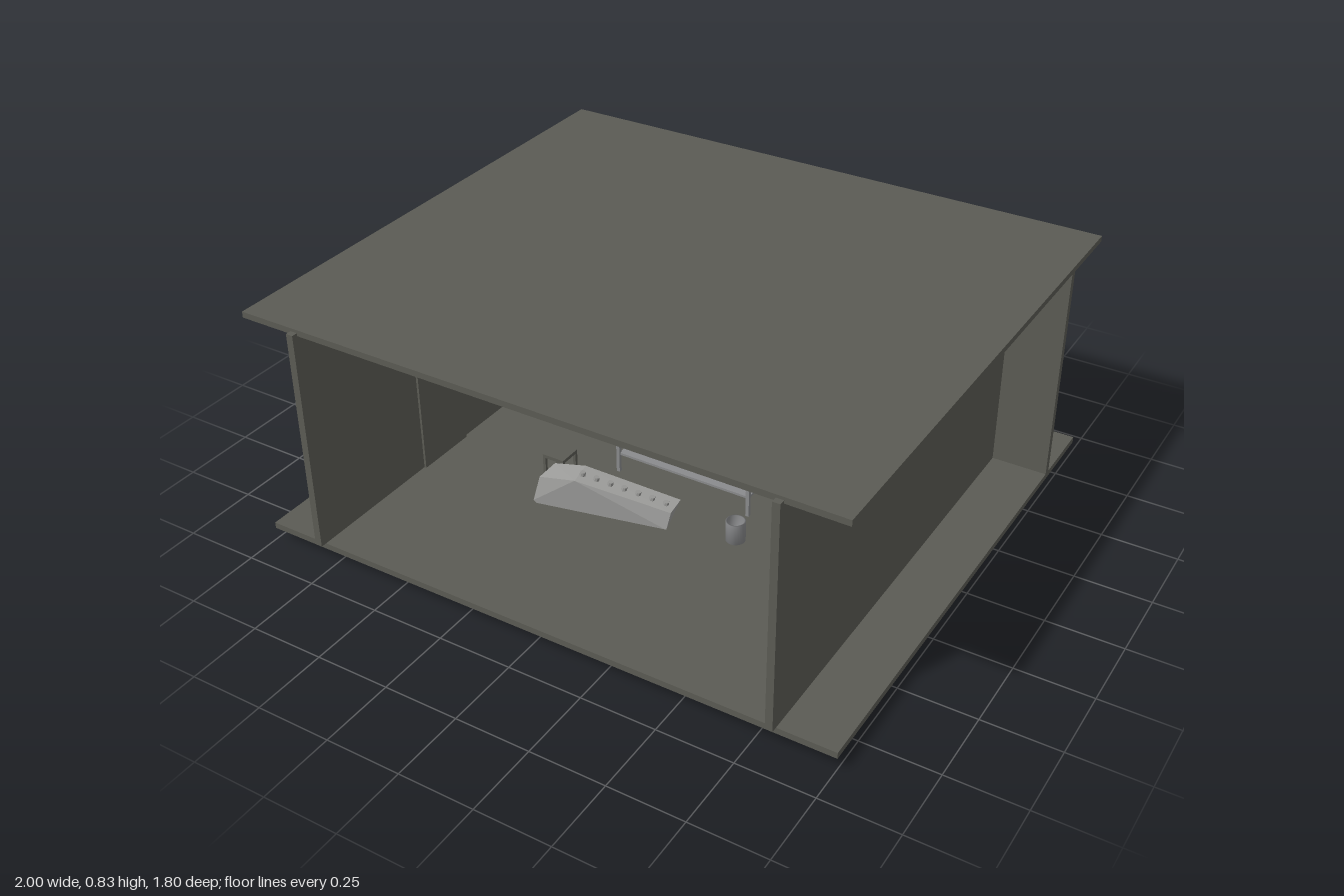
import * as THREE from 'three';
import { ConvexGeometry } from 'three/addons/geometries/ConvexGeometry.js';

const mat = (name, color, extra = {}) =>
  Object.assign(new THREE.MeshStandardMaterial({ color, ...extra }), { name });

export function createModel() {
  const root = new THREE.Group();
  root.name = 'openRoom';
  const concrete = mat('concreteGrey', 0x5b5b54);
  const panel = mat('cabinetGrey', 0x8a8b8d);
  const pale = mat('paleGrey', 0xa4a4a1);
  const couch = mat('couchGrey', 0x989896, { flatShading: true });
  const dark = mat('darkGrey', 0x3c3c38);

  const add = (name, geo, material, x = 0, y = 0, z = 0, parent = root) => {
    const m = new THREE.Mesh(geo, material);
    m.name = name;
    m.position.set(x, y, z);
    parent.add(m);
    return m;
  };
  // box given by its minimum and maximum corners
  const box = (name, material, x0, x1, y0, y1, z0, z1, parent = root) =>
    add(name, new THREE.BoxGeometry(x1 - x0, y1 - y0, z1 - z0), material,
      (x0 + x1) / 2, (y0 + y1) / 2, (z0 + z1) / 2, parent);
  const group = (name) => {
    const g = new THREE.Group();
    g.name = name;
    root.add(g);
    return g;
  };

  // Shell: two slabs, a full-width back wall and two long crossing side walls
  box('floorSlab', concrete, -1, 1, 0.045, 0.066, -0.9, 0.88);
  box('roofSlab', concrete, -1, 1, 0.815, 0.835, -0.9, 0.88);
  box('backWall', concrete, -1, 1, 0.066, 0.815, -0.664, -0.64);
  for (const s of [-1, 1]) {
    const w = box('sideWall', concrete, -0.012, 0.012, 0.066, 0.825, -0.79, 0.9);
    w.position.x = s * 0.8;
  }
  box('sideDoor', concrete, -0.788, -0.78, 0.066, 0.53, 0.17, 0.39);

  // Two rows of wall cabinets with bar handles
  const cabinets = group('wallCabinets');
  for (const x of [-0.257, 0, 0.255])
    for (const [y0, y1] of [[0.21, 0.4], [0.415, 0.6]]) {
      box('cabinet', panel, x - 0.115, x + 0.115, y0, y1, -0.64, -0.56, cabinets);
      box('cabinetHandle', dark, x - 0.04, x + 0.04, y1 - 0.038, y1 - 0.029, -0.56, -0.552, cabinets);
    }

  // Desk with a lower shelf and slim legs
  const desk = group('desk');
  box('deskTop', panel, -0.29, 0.32, 0.276, 0.285, -0.15, 0.1, desk);
  box('deskRail', panel, -0.24, 0.285, 0.266, 0.276, -0.12, 0.07, desk);
  box('lowerShelf', panel, -0.22, 0.27, 0.13, 0.138, -0.12, 0.07, desk);
  for (const x of [-0.222, 0.268])
    for (const z of [-0.12, 0.07])
      box('deskLeg', panel, x - 0.006, x + 0.006, 0.066, 0.27, z - 0.006, z + 0.006, desk);

  // Drawer unit hung above the desk
  const drawers = group('drawerUnit');
  box('drawerBody', pale, -0.24, 0.2, 0.318, 0.387, -0.12, 0.05, drawers);
  for (const x of [-0.075, 0.125])
    box('drawerHandle', dark, x - 0.025, x + 0.025, 0.347, 0.354, 0.05, 0.056, drawers);

  // Tilted couch sinking through the floor
  const couchGroup = group('couch');
  const hull = [
    [-0.33, 0.18, 0.28], [-0.22, 0.2, 0.265], [0.09, 0.135, 0.19],
    [-0.35, 0.155, 0.34], [-0.22, 0.18, 0.33], [0.09, 0.12, 0.25],
    [-0.36, 0.075, 0.365], [0.085, 0.065, 0.27], [-0.33, 0.045, 0.36],
    [-0.2, 0.004, 0.32], [0.04, 0.036, 0.28], [-0.2, 0.045, 0.22],
    [0.03, 0.045, 0.22], [-0.32, 0.07, 0.3],
  ].map((p) => new THREE.Vector3(...p));
  add('couchBody', new ConvexGeometry(hull), couch, 0, 0, 0, couchGroup);
  for (let i = 0; i < 7; i++) {
    const t = i / 6;
    const b = add('couchButton', new THREE.CylinderGeometry(0.009, 0.011, 0.012, 8), couch,
      -0.21 + 0.27 * t, 0.193 - 0.058 * t, 0.297 - 0.068 * t, couchGroup);
    b.rotation.z = -0.2;
  }

  // Small square stool
  const stool = group('stool');
  box('stoolSeat', concrete, -0.385, -0.305, 0.178, 0.19, 0.19, 0.27, stool);
  for (const x of [-0.38, -0.31])
    for (const z of [0.195, 0.265])
      box('stoolLeg', concrete, x - 0.005, x + 0.005, 0.066, 0.18, z - 0.005, z + 0.005, stool);

  // Open waste bin
  const bin = [[0, 0], [0.032, 0], [0.032, 0.072], [0.028, 0.072], [0.028, 0.006], [0, 0.006]]
    .map((p) => new THREE.Vector2(...p));
  add('wasteBin', new THREE.LatheGeometry(bin, 24), panel, 0.297, 0.066, 0.2);

  // Pendant lamp
  const lamp = group('pendantLamp');
  lamp.position.set(0.018, 0, 0);
  add('lampCord', new THREE.CylinderGeometry(0.004, 0.004, 0.21, 8), concrete, 0, 0.712, 0, lamp);
  const shade = mat('shadeGrey', 0x5b5b54, { side: THREE.DoubleSide });
  add('lampShade', new THREE.CylinderGeometry(0.025, 0.092, 0.064, 24, 1, true), shade, 0, 0.577, 0, lamp);
  add('lampCap', new THREE.CylinderGeometry(0.025, 0.025, 0.005, 24), concrete, 0, 0.609, 0, lamp);
  add('lampBulb', new THREE.SphereGeometry(0.016, 16, 10), pale, 0, 0.553, 0, lamp);

  return root;
}
